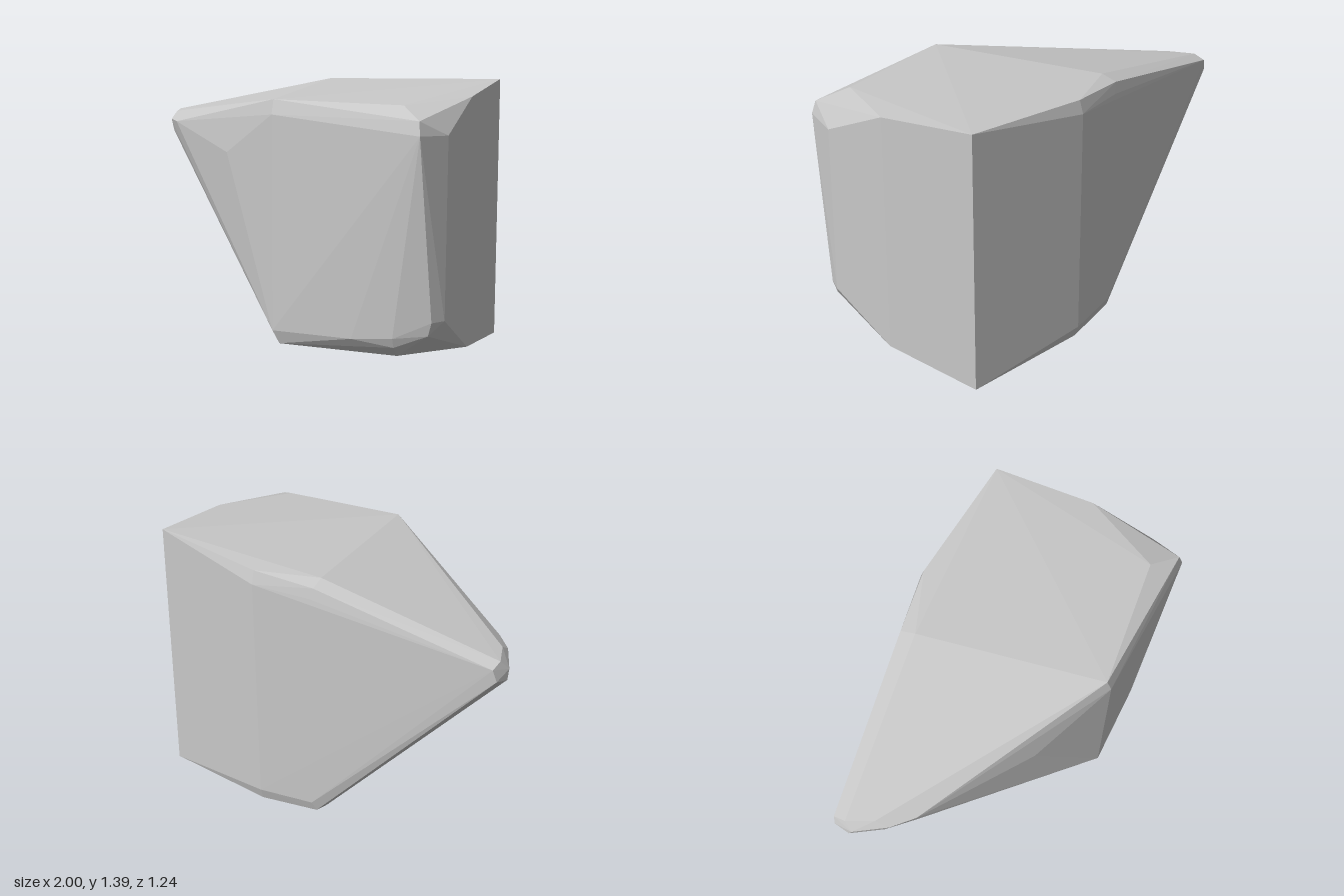
import * as THREE from 'three';
import { ConvexGeometry } from 'three/addons/geometries/ConvexGeometry.js';

// Faceted, bevelled boulder: each group of corners is one region of the hull.
const corners = {
  rightSide: [
    [1, 1.39, -0.44], [1, 0, -0.44], [1, 1.34, 0.09], [1, 0.055, 0.1],
    [0.985, 1.18, 0.44], [0.985, 0.27, 0.45],
  ],
  backBevel: [
    [0.34, 1.36, -0.6], [0.34, 1.29, -0.62], [0.34, 0.08, -0.62], [0.34, 0.02, -0.6],
    [0, 1.36, -0.52], [0, 1.335, -0.6], [0.02, 1.28, -0.612],
    [-0.01, 0.035, -0.52], [0.01, 0.04, -0.595], [0.03, 0.09, -0.612],
  ],
  tip: [
    [-0.97, 1.15, -0.54], [-0.96, 1.13, -0.605], [-0.98, 1.07, -0.6],
    [-1, 1.1, -0.5], [-1, 1.05, -0.52],
    [-0.92, 1.15, -0.4], [-0.92, 1.11, -0.33], [-0.92, 1.04, -0.36],
    [-0.83, 1.11, -0.22], [-0.8, 0.98, -0.23],
  ],
  frontFace: [
    [-0.3, 1.01, 0.22], [0.08, 1.25, 0.49], [0.08, 0.14, 0.485],
    [0.9, 1.19, 0.62], [0.89, 1.26, 0.6],
    [0.94, 0.27, 0.52], [0.92, 0.2, 0.51], [0.75, 0.18, 0.55], [0.53, 0.155, 0.54],
  ],
  frontBevel: [
    [0.08, 1.325, 0.465], [0.77, 1.32, 0.475],
    [0.11, 0.07, 0.465], [0.75, 0.075, 0.475], [0.75, 0.13, 0.53],
  ],
};

export function createModel() {
  const group = new THREE.Group();
  group.name = 'boulder';

  const stone = new THREE.MeshStandardMaterial({ color: 0xc8c8c8, flatShading: true });
  stone.name = 'light grey stone';

  const points = Object.values(corners).flat().map((p) => new THREE.Vector3(...p));
  const rock = new THREE.Mesh(new ConvexGeometry(points), stone);
  rock.name = 'rock';
  group.add(rock);
  return group;
}
